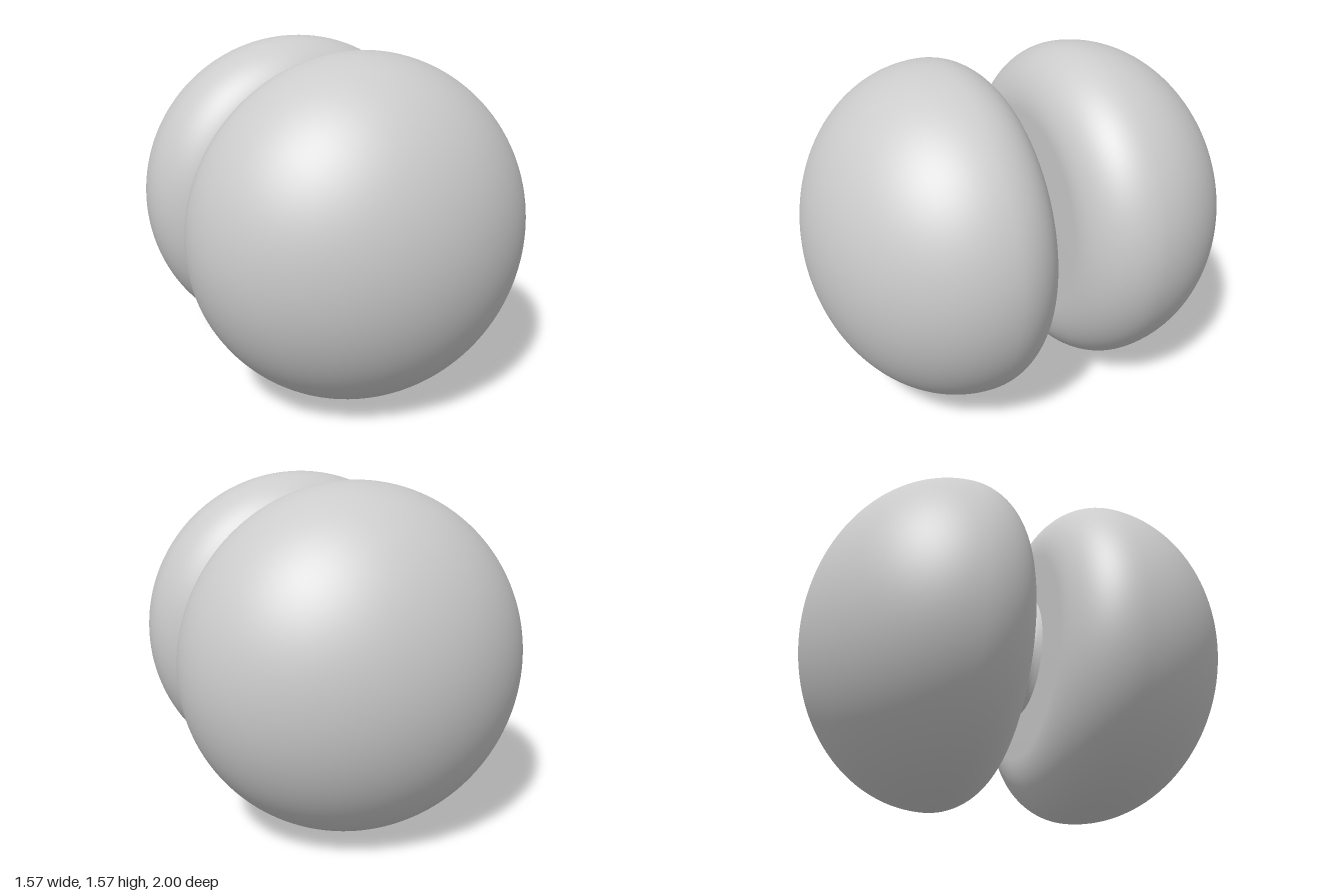
import * as THREE from 'three';

const RADIUS = 0.785;
const material = new THREE.MeshStandardMaterial({ color: 0xcccccc });

// Revolve an [r, z] profile (listed from inner to outer z) around the z axis
function revolve(name, points, segments = 128) {
  const geometry = new THREE.LatheGeometry(points, segments);
  geometry.rotateX(Math.PI / 2);
  const mesh = new THREE.Mesh(geometry, material);
  mesh.name = name;
  return mesh;
}

// Quarter arc of an ellipse centred at (r, z)
function arc(r, z, a, b, from, to, steps) {
  return Array.from({ length: steps + 1 }, (_, i) => {
    const t = from + ((to - from) * i) / steps;
    return new THREE.Vector2(Math.max(0, r + a * Math.cos(t)), z + b * Math.sin(t));
  });
}

function createHalf(name) {
  const half = new THREE.Group();
  half.name = name;

  // Domed shell: flat inner face, rounded rim, elliptical outer dome
  const shell = [
    new THREE.Vector2(0, 0.062),
    new THREE.Vector2(0.29, 0.062),
    ...arc(0.5, 0.35, RADIUS - 0.5, 0.285, -Math.PI / 2, 0, 24),
    ...arc(0, 0.35, RADIUS, 0.65, 0, Math.PI / 2, 40).slice(1),
  ];
  half.add(revolve('domedShell', shell));

  // Shallow hub with a bevelled edge and a slightly crowned face
  const hub = new THREE.SplineCurve([
    [0, 0.001], [0.08, 0.003], [0.16, 0.006], [0.215, 0.013],
    [0.252, 0.028], [0.27, 0.045], [0.295, 0.066],
  ].map(([r, z]) => new THREE.Vector2(r, z))).getPoints(30);
  hub[0].x = 0;
  half.add(revolve('hub', hub));
  return half;
}

export function createModel() {
  const model = new THREE.Group();
  model.name = 'twinDomes';
  const front = createHalf('frontHalf');
  const back = createHalf('backHalf');
  back.rotation.y = Math.PI;
  for (const half of [front, back]) {
    half.position.y = RADIUS;
    model.add(half);
  }
  return model;
}
